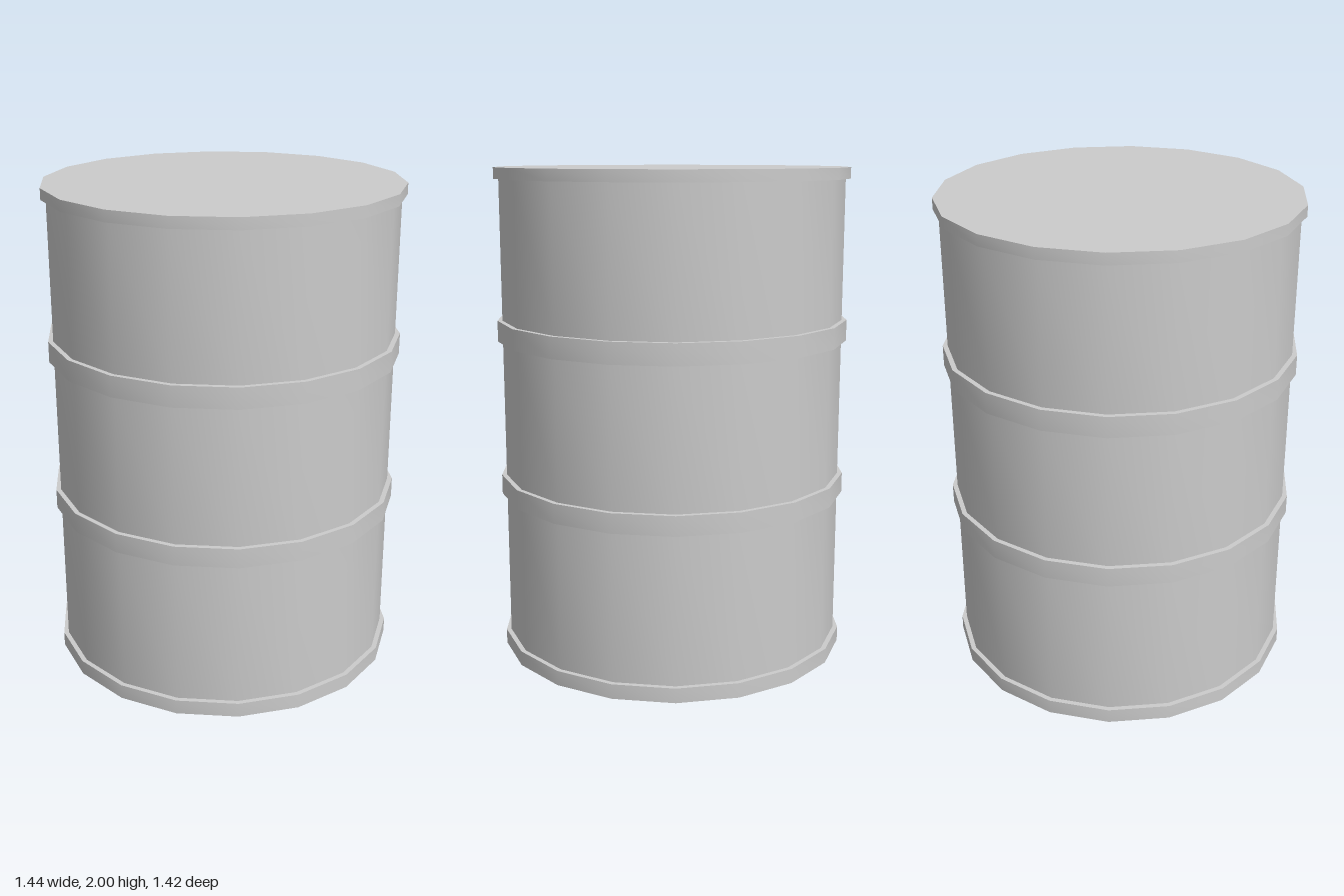
import * as THREE from 'three';
import { toCreasedNormals } from 'three/addons/utils/BufferGeometryUtils.js';

const SIDES = 18;
const BODY_R = 0.70;
const HOOP_R = 0.72;
const HEIGHT = 2;

export function createModel() {
  const group = new THREE.Group();
  group.name = 'barrel';
  const material = new THREE.MeshStandardMaterial({ color: 0xcccccc });

  const add = (name, geometry) => {
    const mesh = new THREE.Mesh(geometry, material);
    mesh.name = name;
    group.add(mesh);
    return mesh;
  };

  // Spin a profile (listed upwards) with a corner on the x axis; smooth round, sharp at rims
  const spin = (points) => toCreasedNormals(
    new THREE.LatheGeometry(points.map(([r, y]) => new THREE.Vector2(r, y)), SIDES, Math.PI / 2),
    0.6
  );

  // Raised hoops: bottom rim, two rolling hoops, top rim
  const hoops = [
    ['bottomRim', 0, 0.06],
    ['lowerHoop', 0.665, 0.745],
    ['upperHoop', 1.305, 1.39],
    ['topRim', 1.955, HEIGHT],
  ];
  for (const [name, y0, y1] of hoops) {
    const profile = [[HOOP_R, y0], [HOOP_R, y1]];
    if (y0 > 0) profile.unshift([BODY_R, y0]);
    if (y1 < HEIGHT) profile.push([BODY_R, y1]);
    add(name, spin(profile));
  }

  // Wall sections between neighbouring hoops
  const wallNames = ['lowerWall', 'middleWall', 'upperWall'];
  wallNames.forEach((name, i) => {
    add(name, spin([[BODY_R, hoops[i][2]], [BODY_R, hoops[i + 1][1]]]));
  });

  // Flat lid and base
  add('lid', new THREE.CircleGeometry(HOOP_R, SIDES).rotateX(-Math.PI / 2)).position.y = HEIGHT;
  add('base', new THREE.CircleGeometry(HOOP_R, SIDES).rotateX(Math.PI / 2));

  return group;
}
